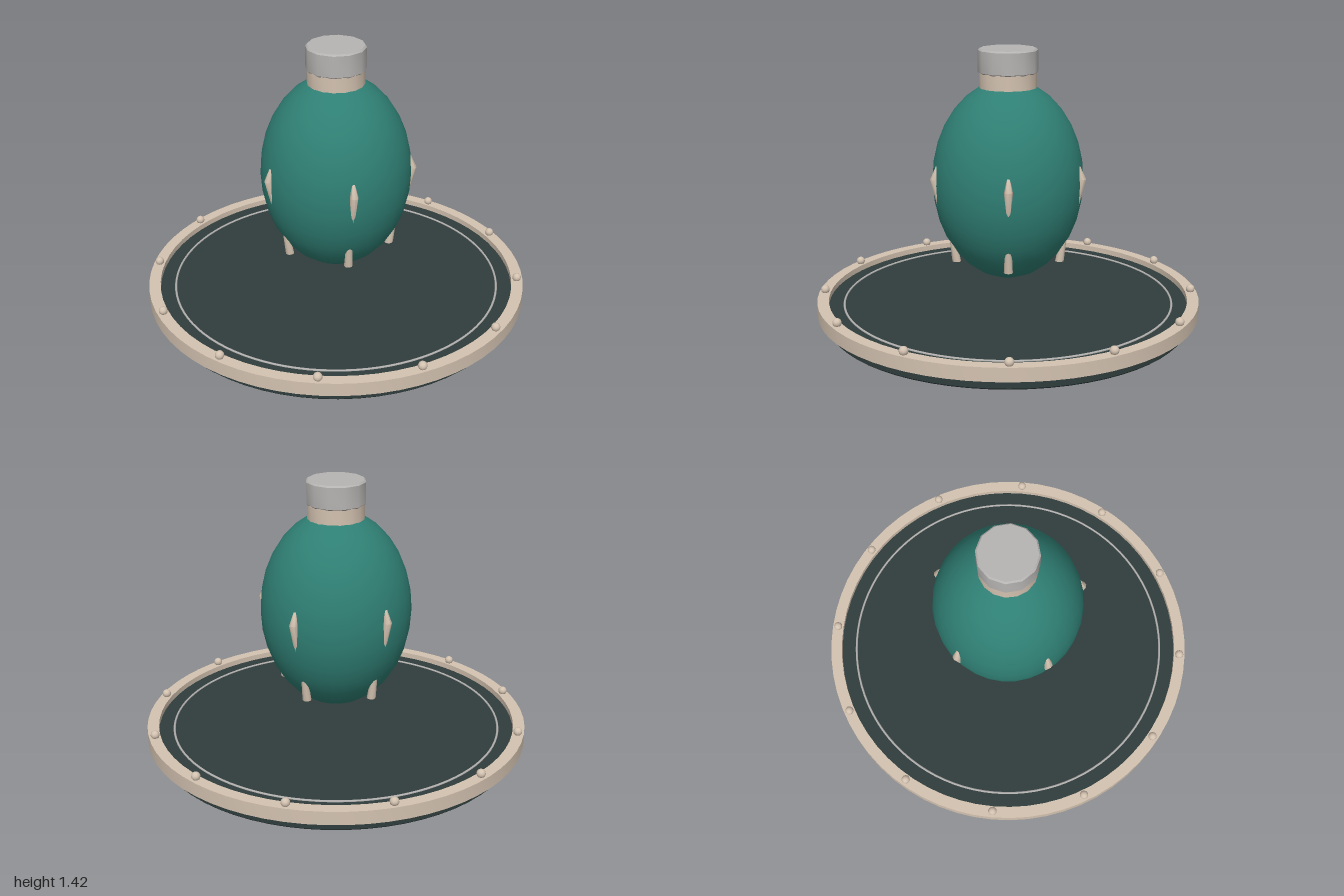
import * as THREE from 'three';
import { toCreasedNormals } from 'three/addons/utils/BufferGeometryUtils.js';

const paint = (name, color) => {
  const m = new THREE.MeshStandardMaterial({ color });
  m.name = name;
  return m;
};

// Turned part with crisp edges; profile runs [radius, y] from bottom to top
const turned = (profile, sides, crease = 0.65) =>
  toCreasedNormals(
    new THREE.LatheGeometry(profile.map(([r, y]) => new THREE.Vector2(r, y)), sides),
    crease
  );

// Leaning spike: sections are [axis x, y, radius] from bottom to top
function spikeGeometry(sections, sides = 8) {
  const first = sections[0], last = sections[sections.length - 1];
  const rings = [[first[0], first[1], 0], ...sections, [last[0], last[1], 0]];
  const geo = new THREE.LatheGeometry(rings.map(([, y, r]) => new THREE.Vector2(r, y)), sides);
  const pos = geo.attributes.position;
  for (let i = 0; i < pos.count; i++) {
    pos.setX(i, pos.getX(i) + rings[i % rings.length][0]);
  }
  return toCreasedNormals(geo, 0.9);
}

export function createModel() {
  const model = new THREE.Group();
  model.name = 'model';

  const slate = paint('dark slate', 0x2f3d3c);
  const beige = paint('beige', 0xd3c2b0);
  const teal = paint('teal', 0x2f7f74);
  const grey = paint('grey', 0xb6b4b2);

  const add = (name, geometry, material, parent = model) => {
    const mesh = new THREE.Mesh(geometry, material);
    mesh.name = name;
    parent.add(mesh);
    return mesh;
  };

  // Round base with a raised rim and a thin inlaid ring
  add('baseDisc', turned([[0, 0], [0.945, 0], [0.953, 0.008], [0.953, 0.1], [0, 0.1]], 64), slate);
  add('baseRim', turned([[0.94, 0.06], [1, 0.06], [1, 0.13], [0.94, 0.13], [0.94, 0.06]], 64), beige);
  const inlay = add('inlayRing', new THREE.TorusGeometry(0.86, 0.006, 6, 96), grey);
  inlay.rotation.x = Math.PI / 2;
  inlay.position.y = 0.102;

  // Studs around the rim
  const studs = new THREE.Group();
  studs.name = 'rimStuds';
  model.add(studs);
  const studGeo = new THREE.SphereGeometry(0.023, 12, 8);
  for (let i = 0; i < 12; i++) {
    const a = (i * Math.PI) / 6;
    add('rimStud', studGeo, beige, studs).position.set(0.968 * Math.cos(a), 0.145, 0.968 * Math.sin(a));
  }

  // Floating egg-shaped body
  const body = add('body', new THREE.SphereGeometry(0.39, 32, 16), teal);
  body.scale.y = 1.333;
  body.position.y = 0.745;

  // Neck and cap
  add('neck', turned([[0, 1.19], [0.147, 1.19], [0.147, 1.305], [0, 1.305]], 16), beige);
  add('cap', turned([[0, 1.3], [0.146, 1.3], [0.153, 1.307], [0.153, 1.417], [0.145, 1.425], [0, 1.425]], 12), grey);

  // Two rows of five spikes around the body
  const spikes = new THREE.Group();
  spikes.name = 'spikes';
  model.add(spikes);
  const upperGeo = spikeGeometry([[0.366, 0.63, 0.012], [0.393, 0.775, 0.022], [0.377, 0.84, 0.008]]);
  const lowerGeo = spikeGeometry([[0.28, 0.33, 0.023], [0.308, 0.5, 0.015]]);
  for (let i = 0; i < 5; i++) {
    const a = (i * Math.PI * 2) / 5;
    add('upperSpike', upperGeo, beige, spikes).rotation.y = a;
    add('lowerSpike', lowerGeo, beige, spikes).rotation.y = a;
  }

  return model;
}
